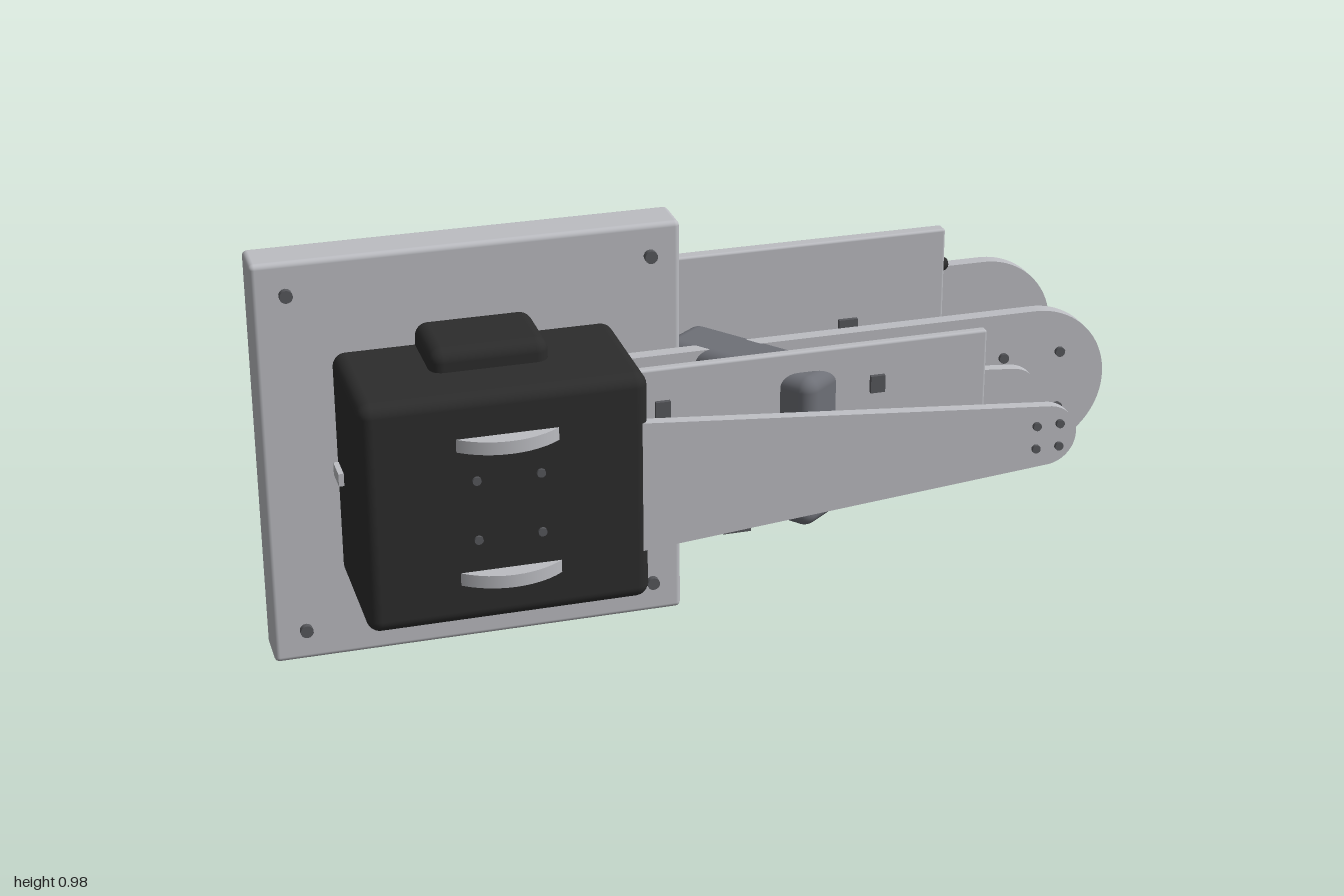
import * as THREE from 'three';
import { toCreasedNormals } from 'three/addons/utils/BufferGeometryUtils.js';
import { RoundedBoxGeometry } from 'three/addons/geometries/RoundedBoxGeometry.js';

const mat = (name, color) => {
  const m = new THREE.MeshStandardMaterial({ color });
  m.name = name;
  return m;
};

export function createModel() {
  const light = mat('light metal', 0xbcbdc2);
  const black = mat('black housing', 0x2c2c2c);
  const gray = mat('mid gray', 0x6e7077);
  const dark = mat('dark gray', 0x57585c);
  const model = new THREE.Group();
  const CY = 0.49; // height of the joint axes
  const JX = -0.515; // shoulder joint

  const add = (name, geometry, material, x = 0, y = 0, z = 0) => {
    const mesh = new THREE.Mesh(geometry, material);
    mesh.name = name;
    mesh.position.set(x, y, z);
    model.add(mesh);
    return mesh;
  };

  // Box given by its limits, optionally rounded
  const box = (name, material, [x0, x1], [y0, y1], [z0, z1], r = 0) => {
    const s = [x1 - x0, y1 - y0, z1 - z0];
    const g = r ? new RoundedBoxGeometry(...s, 4, r) : new THREE.BoxGeometry(...s);
    return add(name, g, material, (x0 + x1) / 2, (y0 + y1) / 2, (z0 + z1) / 2);
  };

  // Flat link bar: outline around two circles joined by tangents
  const link = (name, xa, ra, xb, rb, z0, z1) => {
    const phi = Math.acos((ra - rb) / (xb - xa));
    const shape = new THREE.Shape();
    shape.absarc(xb, 0, rb, -phi, phi, false);
    shape.absarc(xa, 0, ra, phi, Math.PI * 2 - phi, false);
    shape.closePath();
    const g = new THREE.ExtrudeGeometry(shape, { depth: z1 - z0, bevelEnabled: false, curveSegments: 28 });
    return add(name, toCreasedNormals(g, 0.6), light, 0, CY, z0);
  };

  const bolt = (x, y, z, length, r, vertical = false) => {
    const b = add('bolt', new THREE.CylinderGeometry(r, r, length, 14), dark, x, y, z);
    if (!vertical) b.rotation.x = Math.PI / 2;
  };
  // Four bolts in a square, facing along z
  const boltSquare = (x, y, z, d, r = 0.012) => {
    for (const i of [-d, d]) for (const j of [-d, d]) bolt(x + i, y + j, z, 0.018, r);
  };

  // Mounting plate and its corner bolts
  box('mountingPlate', light, [-1, -0.035], [0, 0.975], [-0.127, -0.02], 0.012);
  for (const x of [-0.925, -0.105]) for (const y of [0.077, 0.9]) bolt(x, y, -0.016, 0.02, 0.015);

  // Front motor housing with its crossing block and side stub
  box('frontMotorHousing', black, [-0.835, -0.2], [0.217, 0.76], [-0.02, 0.31], 0.03);
  box('frontMotorCrossBlock', black, [-0.65, -0.385], [0.17, 0.81], [-0.02, 0.175], 0.03);
  box('frontMotorStub', light, [-0.847, -0.8], [0.475, 0.505], [0.016, 0.08]);

  // Rear motor housing, its connector and bracket
  box('rearMotorHousing', black, [-0.7, -0.33], [0.34, 0.635], [-0.312, -0.12], 0.03);
  box('rearConnector', dark, [-0.36, -0.322], [0.43, 0.55], [-0.235, -0.12]);
  box('rearCoverBracket', dark, [-0.37, -0.335], [0.64, 0.72], [-0.19, -0.125]);
  box('rearStrip', black, [-0.58, -0.46], [0.21, 0.35], [-0.134, -0.126]);

  // Round joint flanges above and below each motor
  for (const [name, z] of [['frontFlange', 0.17], ['rearFlange', -0.14]]) {
    for (const y of [0.648, 0.328]) add(name, new THREE.CylinderGeometry(0.18, 0.18, 0.03, 56), light, JX, y, z);
  }
  for (const x of [JX - 0.072, JX + 0.072]) for (const y of [0.665, 0.311]) bolt(x, y, -0.21, 0.014, 0.012, true);

  // Wide parallel links of the first arm
  link('rearWideLink', -0.52, 0.18, 0.82, 0.18, -0.345, -0.312);
  link('frontWideLink', -0.52, 0.18, 0.82, 0.18, -0.018, 0.015);
  boltSquare(-0.515, CY, -0.345, 0.071);
  boltSquare(0.815, CY, -0.345, 0.071);
  boltSquare(0.815, CY, 0.015, 0.071);

  // Tapered links of the second arm
  link('innerTaperedLink', JX, 0.18, 0.735, 0.073, 0.06, 0.086);
  link('outerTaperedLink', JX, 0.18, 0.735, 0.073, 0.28, 0.306);
  boltSquare(JX, CY, 0.307, 0.071, 0.01);
  boltSquare(0.738, CY, 0.305, 0.028, 0.01);
  boltSquare(0.738, CY, 0.06, 0.028, 0.01);

  // Turned elbow motor between the arms, with its connector
  const elbow = add('elbowMotor', new RoundedBoxGeometry(0.42, 0.367, 0.15, 4, 0.032), gray, 0.113, 0.487, 0.05);
  elbow.rotation.y = -THREE.MathUtils.degToRad(52);
  box('elbowConnector', dark, [-0.02, 0.045], [0.33, 0.52], [0.19, 0.27]);

  // Cover plates, each with two clips
  const cover = (name, xs, ys, zs, clipXs, clipY, size) => {
    box(name, light, xs, ys, zs, 0.006);
    for (const x of clipXs) {
      box('coverClip', dark, [x - size, x + size], [clipY - size * 1.2, clipY + size * 1.2], [zs[0] - 0.01, zs[1] + 0.01]);
    }
  };
  cover('rearCover', [-0.37, 0.653], [0.475, 0.833], [-0.183, -0.15], [-0.135, 0.413], 0.607, 0.023);
  cover('frontCover', [-0.4, 0.625], [0.478, 0.72], [0.175, 0.198], [-0.14, 0.362], 0.623, 0.017);

  // Cables running along the covers, with rounded ends
  const cable = (name, points, y, r) => {
    const path = new THREE.CatmullRomCurve3(points.map(([x, z]) => new THREE.Vector3(x, y, z)), false, 'centripetal');
    add(name, new THREE.TubeGeometry(path, 40, r, 12), black);
    for (const [x, z] of [points[0], points[points.length - 1]]) {
      add(name + 'End', new THREE.SphereGeometry(r, 12, 8), black, x, y, z);
    }
  };
  cable('rearCable', [[-0.355, -0.19], [-0.06, -0.223], [0.38, -0.223], [0.66, -0.19]], 0.73, 0.018);
  cable('frontCable', [[-0.39, 0.163], [-0.13, 0.145], [0.33, 0.145], [0.6, 0.163]], 0.653, 0.013);

  return model;
}
